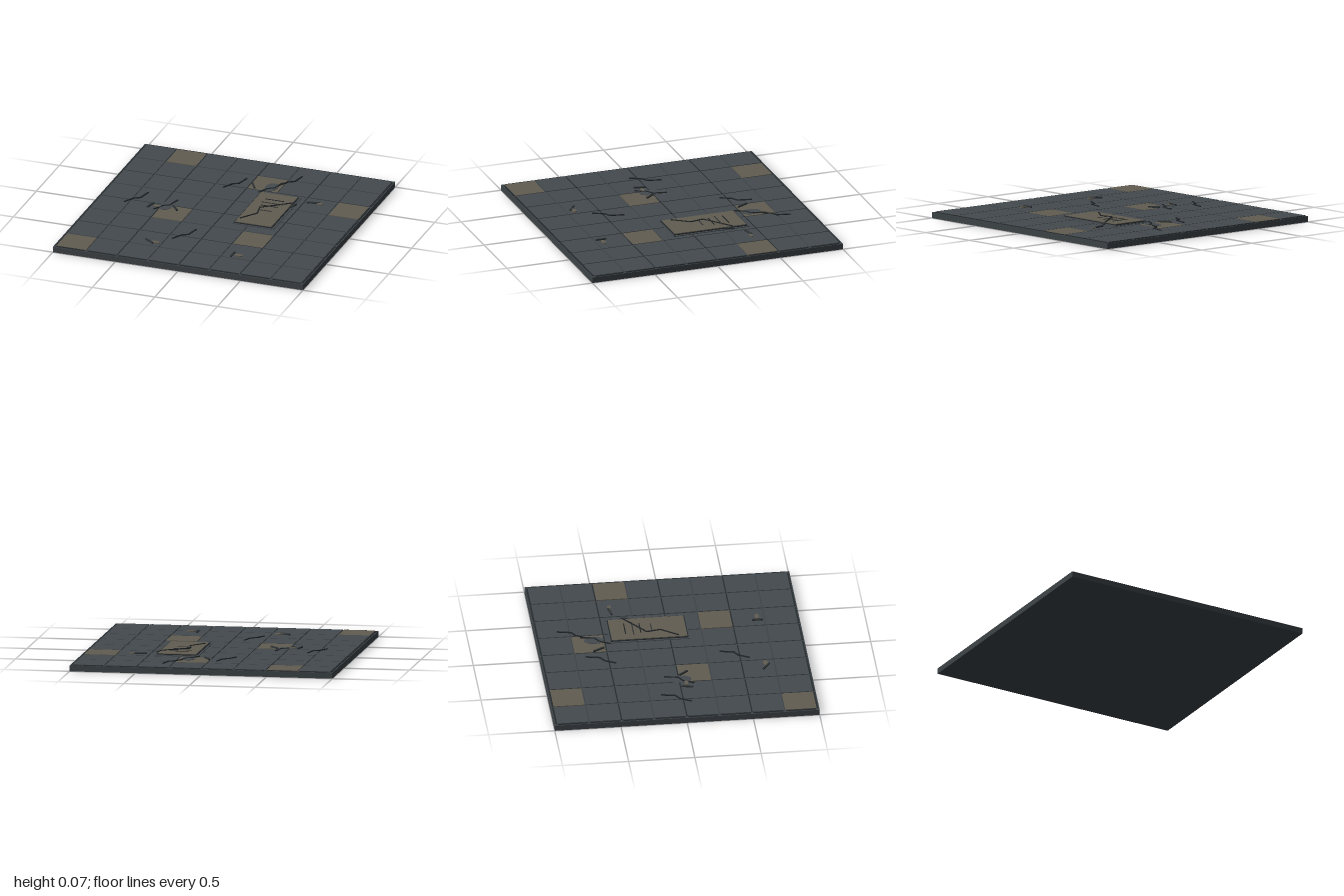
import * as THREE from 'three';

const mat = (name, color) => {
  const m = new THREE.MeshStandardMaterial({ color });
  m.name = name;
  return m;
};

export function createModel() {
  const M = {
    base: mat('slab grey', 0x3c4246),
    tile: mat('slate grey', 0x434a4e),
    tan: mat('worn tan', 0x625c50),
    joint: mat('joint dark', 0x262b2e),
    crack: mat('crack black', 0x1f2426),
    chip: mat('chip grey', 0x2f3436),
  };
  const group = new THREE.Group();
  group.name = 'floorPanel';

  const add = (name, geo, m, x, y, z, ry = 0) => {
    const mesh = new THREE.Mesh(geo, m);
    mesh.name = name;
    mesh.position.set(x, y, z);
    mesh.rotation.y = ry;
    group.add(mesh);
    return mesh;
  };
  // Box given by its bottom and top heights
  const slab = (name, m, x, z, w, d, y0, y1) =>
    add(name, new THREE.BoxGeometry(w, y1 - y0, d), m, x, (y0 + y1) / 2, z);
  // Thin bar between two floor points
  const bar = (name, m, [x0, z0], [x1, z1], w, y0, y1) => {
    const dx = x1 - x0, dz = z1 - z0;
    add(name, new THREE.BoxGeometry(Math.hypot(dx, dz) + w * 0.6, y1 - y0, w), m,
      (x0 + x1) / 2, (y0 + y1) / 2, (z0 + z1) / 2, -Math.atan2(dz, dx));
  };
  const path = (name, m, pts, w, y0, y1) => {
    for (let i = 1; i < pts.length; i++) bar(name, m, pts[i - 1], pts[i], w, y0, y1);
  };
  // Flat faceted ellipse
  const patch = (name, m, x, z, rx, rz, y0, y1, sides) => {
    const geo = new THREE.CylinderGeometry(1, 1, y1 - y0, sides);
    geo.scale(rx, 1, rz);
    add(name, geo, m, x, (y0 + y1) / 2, z);
  };

  // Foundation slab
  slab('foundation', M.base, 0, 0, 2, 2, 0, 0.044);

  // Tiles, a few of them worn
  const pitch = 0.246;
  const worn = ['1,0', '4,1', '7,2', '2,4', '5,5', '0,7'];
  for (let i = 0; i < 8; i++) {
    for (let j = 0; j < 8; j++) {
      const isWorn = worn.includes(`${i},${j}`);
      slab(isWorn ? 'wornTile' : 'tile', isWorn ? M.tan : M.tile,
        (i - 3.5) * pitch, (j - 3.5) * pitch, 0.236, 0.236, 0.04, 0.05);
    }
  }

  // Dark joints on every second grid line
  for (let k = -4; k <= 4; k += 2) {
    for (let j = 0; j < 8; j++) {
      const c = (j - 3.5) * pitch;
      slab('joint', M.joint, k * pitch, c, 0.014, 0.225, 0.042, 0.0485);
      slab('joint', M.joint, c, k * pitch, 0.225, 0.014, 0.042, 0.0485);
    }
  }

  // Grey stains lying over the worn tiles
  patch('stain', M.tile, 0.17, -0.57, 0.05, 0.075, 0.049, 0.0525, 12);
  patch('stain', M.tile, -0.455, 0.01, 0.05, 0.085, 0.049, 0.0525, 12);

  // Floor cracks share one zigzag
  const zigzag = [[0, 0], [0.043, -0.08], [0.088, -0.107], [0.11, -0.21]];
  const starts = [[-0.17, -0.445], [0.11, -0.455], [0.21, -0.62],
    [-0.775, 0.055], [-0.52, 0.105], [-0.205, 0.56]];
  for (const [x, z] of starts) {
    path('crack', M.crack, zigzag.map(([a, b]) => [x + a, z + b]), 0.012, 0.049, 0.056);
  }

  // Raised stepped plaque
  slab('plaqueStep', M.tile, 0.282, -0.152, 0.335, 0.61, 0.045, 0.055);
  slab('plaqueEdge', M.joint, 0.282, -0.152, 0.306, 0.586, 0.05, 0.061);
  slab('plaqueFace', M.tan, 0.282, -0.152, 0.29, 0.57, 0.055, 0.065);

  // Engraved bars and the crack across the plaque
  const lines = [[-0.325, 0.215, 0.355, M.crack], [-0.265, 0.2, 0.37, M.chip],
    [-0.21, 0.22, 0.35, M.crack], [-0.125, 0.235, 0.33, M.chip]];
  for (const [z, x0, x1, m] of lines) bar('plaqueLine', m, [x0, z], [x1, z], 0.008, 0.064, 0.068);
  path('plaqueCrack', M.crack,
    [[0.155, 0.065], [0.245, -0.06], [0.225, -0.165], [0.43, -0.325]], 0.01, 0.064, 0.07);

  // Loose splinters
  const splinters = [
    [[0.52, -0.395], [0.605, -0.415]], [[-0.385, 0.645], [-0.315, 0.695]],
    [[0.32, 0.645], [0.32, 0.72]], [[0.01, -0.59], [0.055, -0.51]],
    [[-0.56, 0.01], [-0.578, 0.09]], [[-0.40, 0.01], [-0.35, 0.072]],
    [[0.453, -0.335], [0.433, -0.26]],
  ];
  for (const [a, b] of splinters) bar('splinter', M.chip, a, b, 0.013, 0.049, 0.061);

  // Flat pebbles
  const pebbles = [[0.62, -0.405, 0.03], [-0.3, 0.672, 0.037], [0.37, 0.683, 0.035], [-0.515, 0.05, 0.032]];
  for (const [x, z, r] of pebbles) patch('pebble', M.tan, x, z, r, r * 0.52, 0.049, 0.057, 7);

  return group;
}
